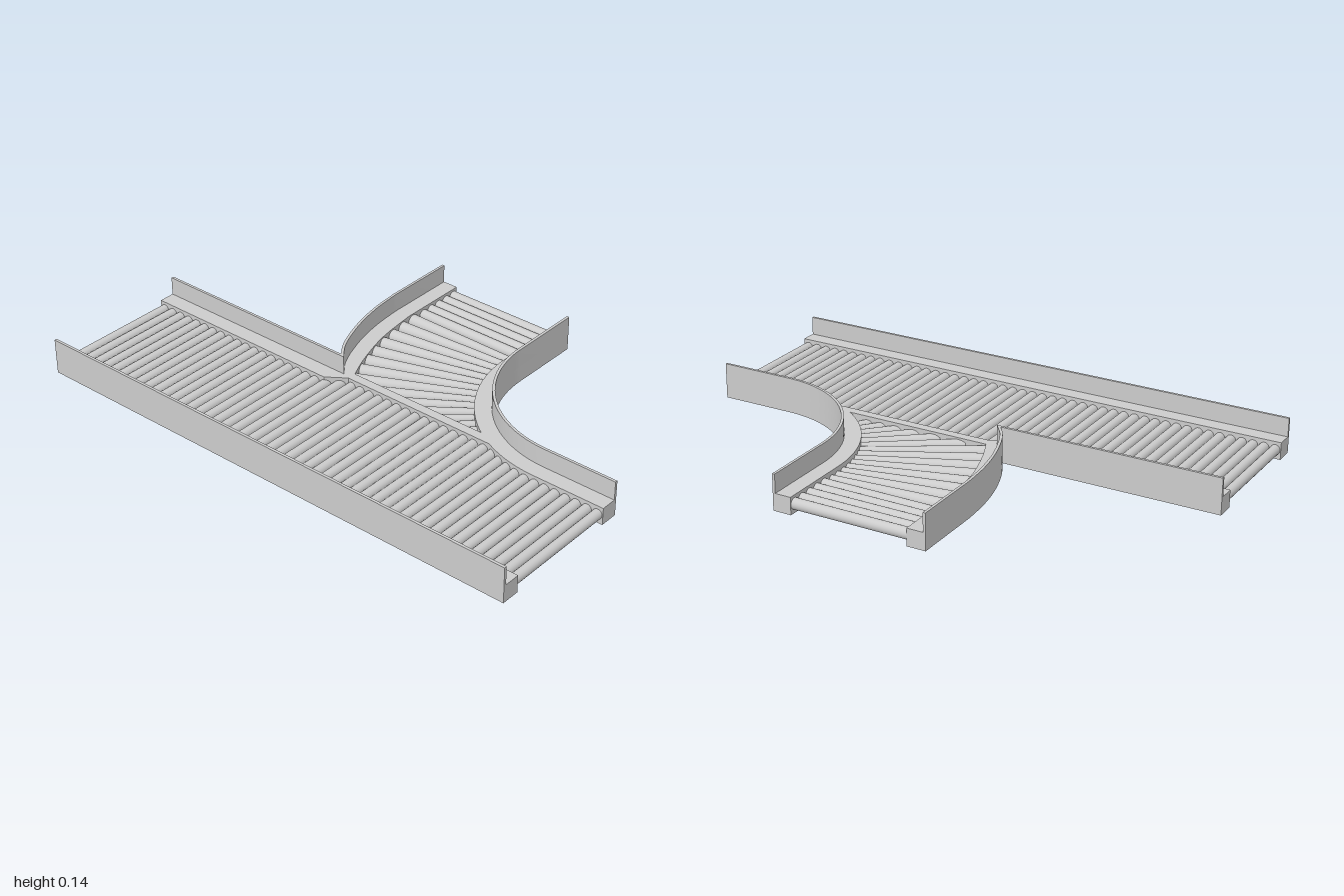
import * as THREE from 'three';
import { toCreasedNormals } from 'three/addons/utils/BufferGeometryUtils.js';

const BASE_H = 0.065, TOP_H = 0.135, LIP = 0.01, ROLLER_Y = 0.035, ROLLER_R = 0.0185;
const material = new THREE.MeshStandardMaterial({ color: 0xcccccc });
const V = (x, z) => new THREE.Vector2(x, z);

// Extrudes a plan outline of (x, z) points upward from y0 to y1
function slab(name, points, y0, y1) {
  const shape = new THREE.Shape(points.map(p => V(p.x, -p.y)));
  const geo = new THREE.ExtrudeGeometry(shape, { depth: y1 - y0, bevelEnabled: false });
  geo.rotateX(-Math.PI / 2).translate(0, y0, 0);
  const mesh = new THREE.Mesh(toCreasedNormals(geo, 0.5), material);
  mesh.name = name;
  return mesh;
}

// Thin upright wall along a plan path, thickened to the right of travel
function lip(name, path) {
  const inner = path.map((p, i) => {
    const a = path[Math.max(i - 1, 0)], b = path[Math.min(i + 1, path.length - 1)];
    const d1 = (i ? p.clone().sub(a) : b.clone().sub(p)).normalize();
    const d2 = (i < path.length - 1 ? b.clone().sub(p) : d1.clone()).normalize();
    const n1 = V(-d1.y, d1.x), n2 = V(-d2.y, d2.x);
    const m = n1.clone().add(n2).normalize();
    return p.clone().addScaledVector(m, LIP / m.dot(n1));
  });
  return slab(name, [...path, ...inner.reverse()], BASE_H, TOP_H);
}

// Points on the front bend, from angle a0 to a1 (0 = toward -x, PI/2 = toward -z)
function bend(r, a0, a1, n = 20) {
  return Array.from({ length: n + 1 }, (_, i) => {
    const a = a0 + (a1 - a0) * i / n;
    return V(0.365 - r * Math.cos(a), 0.72 - r * Math.sin(a));
  });
}

// Roller between two plan points, optionally tapered
function roller(name, from, to, r0 = ROLLER_R, r1 = r0) {
  const dir = to.clone().sub(from);
  const geo = new THREE.CylinderGeometry(r1, r0, dir.length(), 20);
  const mesh = new THREE.Mesh(geo, material);
  mesh.position.set((from.x + to.x) / 2, ROLLER_Y, (from.y + to.y) / 2);
  mesh.quaternion.setFromUnitVectors(new THREE.Vector3(0, 1, 0),
    new THREE.Vector3(dir.x, 0, dir.y).normalize());
  mesh.name = name;
  return mesh;
}

export function createModel() {
  const model = new THREE.Group();
  model.name = 'rollerConveyorJunction';

  // Straight side rail
  model.add(slab('straightRail', [V(-0.65, -1), V(-0.65, 1), V(-0.58, 1), V(-0.58, -1)], 0, BASE_H));
  model.add(lip('straightRailLip', [V(-0.65, 1), V(-0.65, -1)]));

  // Plan curves of the branch rails
  const backOuter = new THREE.SplineCurve([V(-0.065, -0.17), V(-0.02, -0.203), V(0.05, -0.235),
    V(0.15, -0.267), V(0.26, -0.288), V(0.37, -0.297)]).getPoints(24);
  const backInner = new THREE.SplineCurve([V(0.37, -0.226), V(0.2, -0.205), V(0.05, -0.162),
    V(-0.05, -0.12)]).getPoints(20);
  const frontOuter = bend(0.43, Math.PI / 2, 0, 28);

  // Both branch rails and the divider strip as one base
  model.add(slab('branchRails', [
    V(-0.135, -1), V(-0.065, -1), ...backOuter, V(0.65, -0.297), V(0.65, -0.226), ...backInner,
    ...bend(0.5, Math.acos(0.415 / 0.5), Math.PI / 2), V(0.65, 0.22), V(0.65, 0.29),
    ...frontOuter, V(-0.065, 1), V(-0.135, 1),
    ...bend(0.5, 0, Math.acos(0.45 / 0.5), 10), V(-0.085, -0.12), V(-0.135, -0.19),
  ], 0, BASE_H));
  model.add(lip('backBranchLip', [V(-0.065, -1), ...backOuter, V(0.65, -0.297)]));
  model.add(lip('frontBranchLip', [V(0.65, 0.29), ...frontOuter, V(-0.065, 1)]));

  // Main line rollers
  const main = new THREE.Group();
  main.name = 'mainRollers';
  const count = 48;
  for (let i = 0; i < count; i++) {
    const z = -1 + (i + 0.5) * 2 / count;
    main.add(roller('mainRoller', V(-0.6, z), V(-0.08, z)));
  }
  model.add(main);

  // Straight rollers at the branch exit
  const exit = new THREE.Group();
  exit.name = 'exitRollers';
  for (let i = 0; i < 5; i++) {
    const x = 0.454 + i * 0.0435;
    exit.add(roller('exitRoller', V(x, 0.24), V(x, -0.24), 0.0205));
  }
  model.add(exit);

  // Tapered rollers fanning round the bend, cut short at the divider
  const fan = new THREE.Group();
  fan.name = 'bendRollers';
  const cx = 0.42, cz = 0.75, r0 = 0.52, rMax = 1.0;
  for (let i = 0; i < 14; i++) {
    const a = (1.5 + i * 3.8) * Math.PI / 180;
    const r1 = Math.min(rMax, (cx + 0.065) / Math.sin(a));
    const at = r => V(cx - r * Math.sin(a), cz - r * Math.cos(a));
    const radius = r => 0.014 + 0.012 * (r - r0) / (rMax - r0);
    fan.add(roller('bendRoller', at(r0), at(r1), radius(r0), radius(r1)));
  }
  model.add(fan);

  return model;
}
